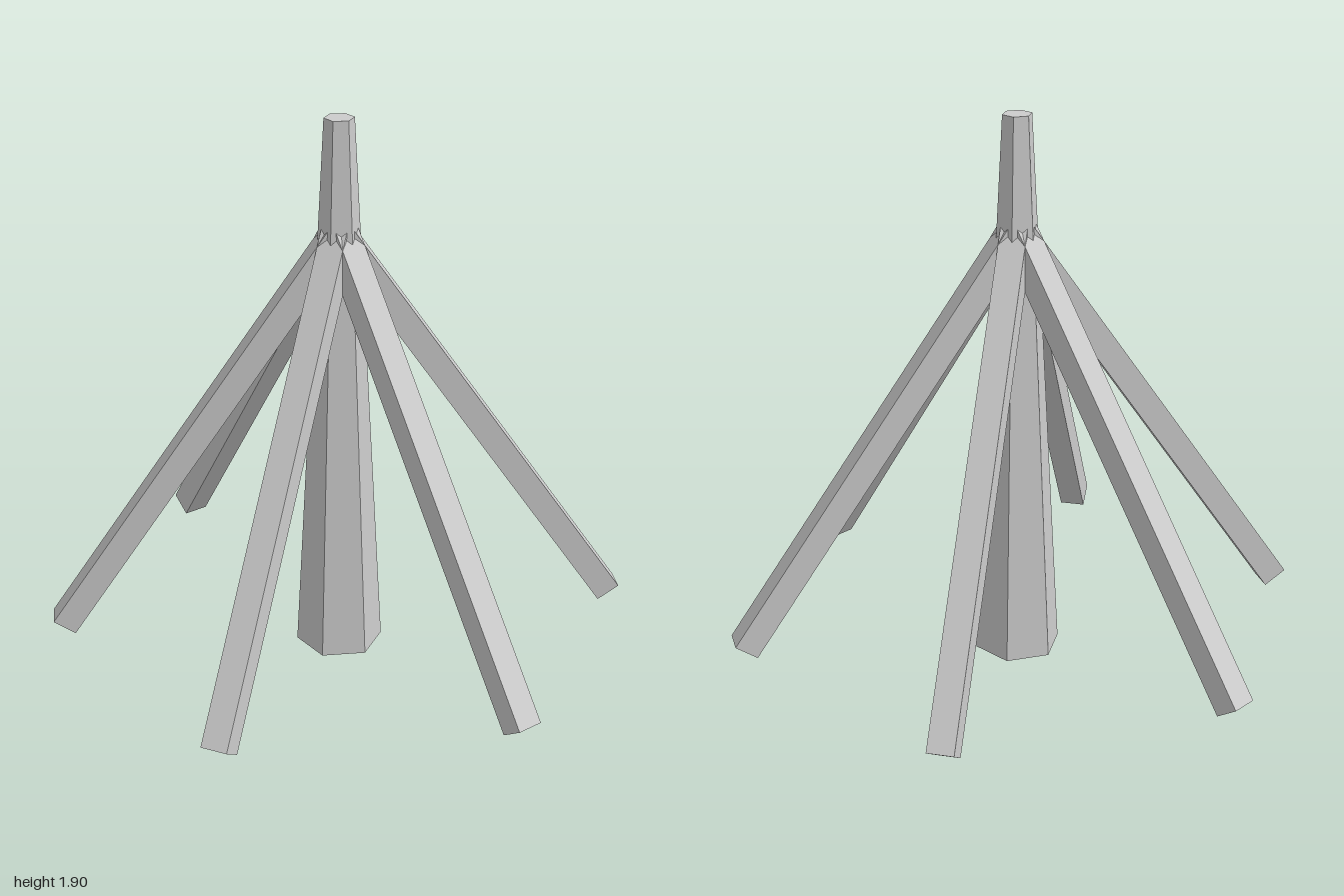
import * as THREE from 'three';

export function createModel() {
  const model = new THREE.Group();
  const material = new THREE.MeshStandardMaterial({ color: 0xcccccc, flatShading: true });

  // Tapered six-sided pole with corners on the x axis
  const poleGeometry = new THREE.CylinderGeometry(0.05, 0.15, 1.905, 6);
  poleGeometry.rotateY(Math.PI / 2);
  poleGeometry.translate(0, 1.905 / 2, 0);
  const pole = new THREE.Mesh(poleGeometry, material);
  pole.name = 'centralPole';
  model.add(pole);

  // Square beam sloping down from the pole's axis to a free end
  const top = new THREE.Vector2(0, 1.525);
  const end = new THREE.Vector2(0.963, 0.13);
  const beamGeometry = new THREE.BoxGeometry(top.distanceTo(end), 0.088, 0.09);
  beamGeometry.rotateZ(Math.atan2(end.y - top.y, end.x - top.x));
  beamGeometry.translate((top.x + end.x) / 2, (top.y + end.y) / 2, 0);

  // Six beams spread evenly around the pole
  const beams = new THREE.Group();
  beams.name = 'slopingBeams';
  for (let i = 0; i < 6; i++) {
    const beam = new THREE.Mesh(beamGeometry, material);
    beam.name = `beam${i + 1}`;
    beam.rotation.y = (i * Math.PI) / 3;
    beams.add(beam);
  }
  model.add(beams);

  return model;
}
